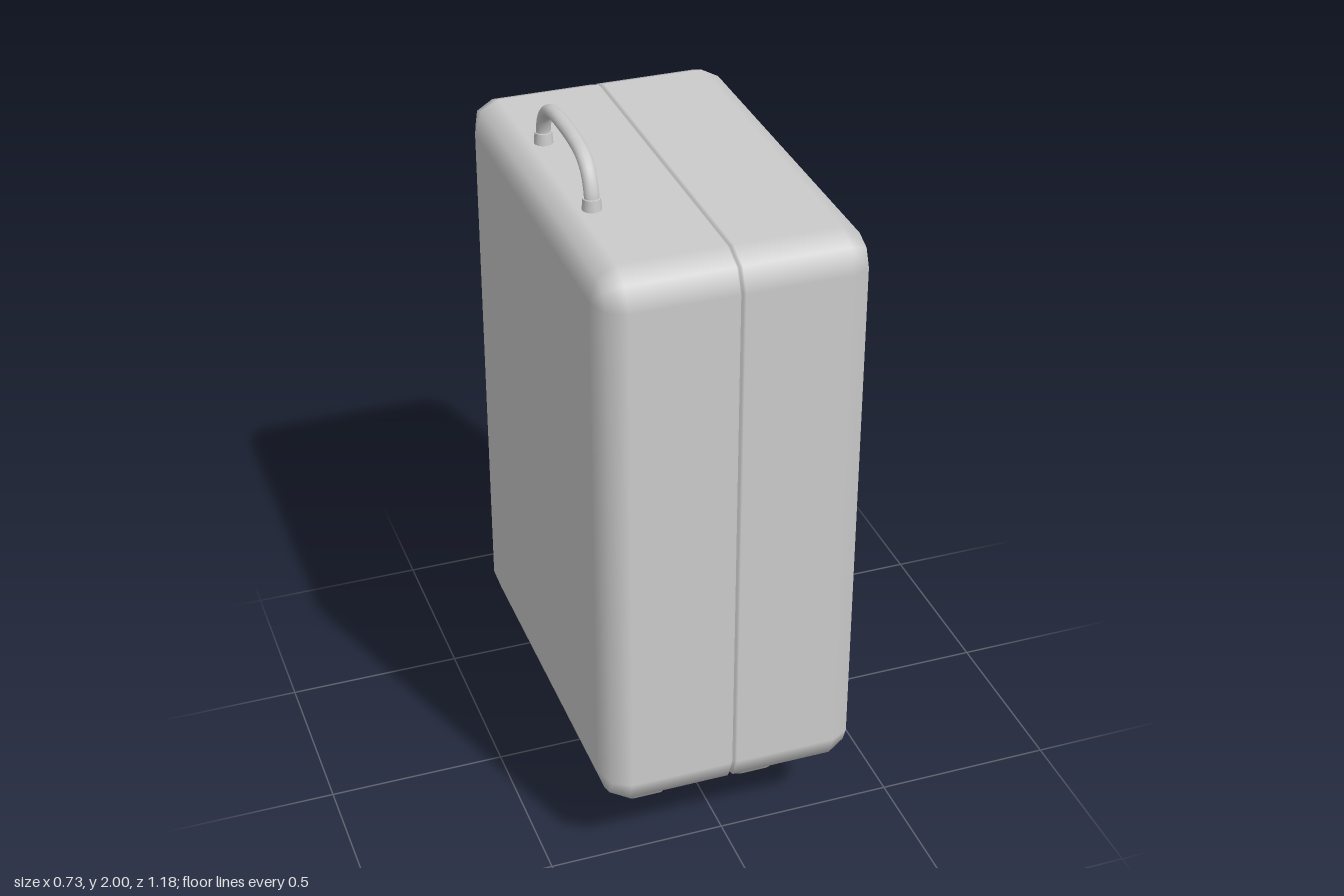
import * as THREE from 'three';

const material = new THREE.MeshStandardMaterial({ color: 0xcccccc });

function addMesh(parent, name, geometry, x = 0, y = 0, z = 0) {
  const mesh = new THREE.Mesh(geometry, material);
  mesh.name = name;
  mesh.position.set(x, y, z);
  parent.add(mesh);
  return mesh;
}

// One half of the case: rounded-rectangle rings from the seam (x = 0) to the outer face
function shellGeometry() {
  const H = 0.82, D = 0.588, R = 0.092, W = 0.363, RX = 0.07;
  const s = Math.SQRT1_2;
  // each row: x, inset, normal along x, normal outwards
  const rows = [
    [0, 0.014, -s, s],
    [0.003, 0.005, -s, s],
    [0.008, 0, 0, 1],
    [W - RX, 0, 0, 1],
    [W - RX * (1 - s), R * (1 - s), s, s],
    [W, R, 1, 0],
  ];
  const corners = [[1, 1], [-1, 1], [-1, -1], [1, -1]];
  const pos = [], nor = [], idx = [];
  for (const [x, inset, nx, nr] of rows) {
    corners.forEach(([sy, sz], c) => {
      for (let k = 0; k < 3; k++) {
        const a = (c + k / 2) * Math.PI / 2;
        const r = R - inset;
        pos.push(x, sy * (H - R) + r * Math.cos(a), sz * (D - R) + r * Math.sin(a));
        nor.push(nx, nr * Math.cos(a), nr * Math.sin(a));
      }
    });
  }
  const n = 12;
  for (let i = 0; i < rows.length - 1; i++) {
    for (let j = 0; j < n; j++) {
      const a = i * n + j, b = i * n + (j + 1) % n;
      idx.push(a, b, b + n, a, b + n, a + n);
    }
  }
  // flat outer face
  const last = (rows.length - 1) * n;
  idx.push(last, last + 3, last + 6, last, last + 6, last + 9);
  const geometry = new THREE.BufferGeometry();
  geometry.setAttribute('position', new THREE.Float32BufferAttribute(pos, 3));
  geometry.setAttribute('normal', new THREE.Float32BufferAttribute(nor, 3));
  geometry.setIndex(idx);
  return geometry;
}

// Tapered fork plate, drawn in z-y and extruded along x
function forkPlateGeometry(thickness) {
  const shape = new THREE.Shape([
    [-0.093, 0.212], [-0.093, 0.19], [-0.034, 0.058],
    [0.034, 0.058], [0.093, 0.19], [0.093, 0.212],
  ].map(([u, v]) => new THREE.Vector2(u, v)));
  return new THREE.ExtrudeGeometry(shape, { depth: thickness, bevelEnabled: false })
    .translate(0, 0, -thickness / 2)
    .rotateY(Math.PI / 2);
}

// Wheel with rounded rims, turning about x
function wheelGeometry() {
  const r = 0.084, h = 0.054, b = 0.014;
  const profile = [new THREE.Vector2(0, -h), new THREE.Vector2(r - b, -h)];
  for (let i = 0; i <= 4; i++) {
    const a = -Math.PI / 2 + i * Math.PI / 8;
    profile.push(new THREE.Vector2(r - b + b * Math.cos(a), -h + b + b * Math.sin(a)));
  }
  for (let i = 0; i <= 4; i++) {
    const a = i * Math.PI / 8;
    profile.push(new THREE.Vector2(r - b + b * Math.cos(a), h - b + b * Math.sin(a)));
  }
  profile.push(new THREE.Vector2(r - b, h), new THREE.Vector2(0, h));
  return new THREE.LatheGeometry(profile, 32).rotateZ(Math.PI / 2);
}

function createCaster() {
  const caster = new THREE.Group();
  caster.name = 'caster';
  addMesh(caster, 'wheel', wheelGeometry(), 0, 0.085, 0);
  addMesh(caster, 'axle', new THREE.CylinderGeometry(0.014, 0.014, 0.13, 12).rotateZ(Math.PI / 2), 0, 0.085, 0);
  for (const side of [-1, 1]) {
    addMesh(caster, 'forkPlate', forkPlateGeometry(0.013), side * 0.065, 0, 0);
  }
  addMesh(caster, 'forkTop', new THREE.BoxGeometry(0.13, 0.015, 0.186), 0, 0.204, 0);
  return caster;
}

function createHandle() {
  const handle = new THREE.Group();
  handle.name = 'handle';
  const half = [[0.203, 1.86], [0.2, 1.895], [0.178, 1.94], [0.14, 1.968], [0.08, 1.98]];
  const points = [...half, [0, 1.983], ...half.map(([z, y]) => [-z, y]).reverse()]
    .map(([z, y]) => new THREE.Vector3(0, y, z));
  const grip = new THREE.TubeGeometry(new THREE.CatmullRomCurve3(points), 48, 0.017, 14);
  addMesh(handle, 'grip', grip.scale(1.18, 1, 1));
  for (const z of [-0.202, 0.202]) {
    addMesh(handle, 'collar', new THREE.CylinderGeometry(0.023, 0.026, 0.034, 20), 0, 1.864, z);
  }
  handle.position.x = -0.257;
  return handle;
}

export function createModel() {
  const model = new THREE.Group();
  model.name = 'suitcase';

  // two shells, the right one turned half round
  addMesh(model, 'leftShell', shellGeometry(), 0, 1.03, 0);
  addMesh(model, 'rightShell', shellGeometry(), 0, 1.03, 0).rotation.y = Math.PI;

  model.add(createHandle());

  // four casters
  for (const x of [-0.163, 0.163]) {
    for (const z of [-0.287, 0.273]) {
      const caster = createCaster();
      caster.position.set(x, 0, z);
      model.add(caster);
    }
  }
  return model;
}
